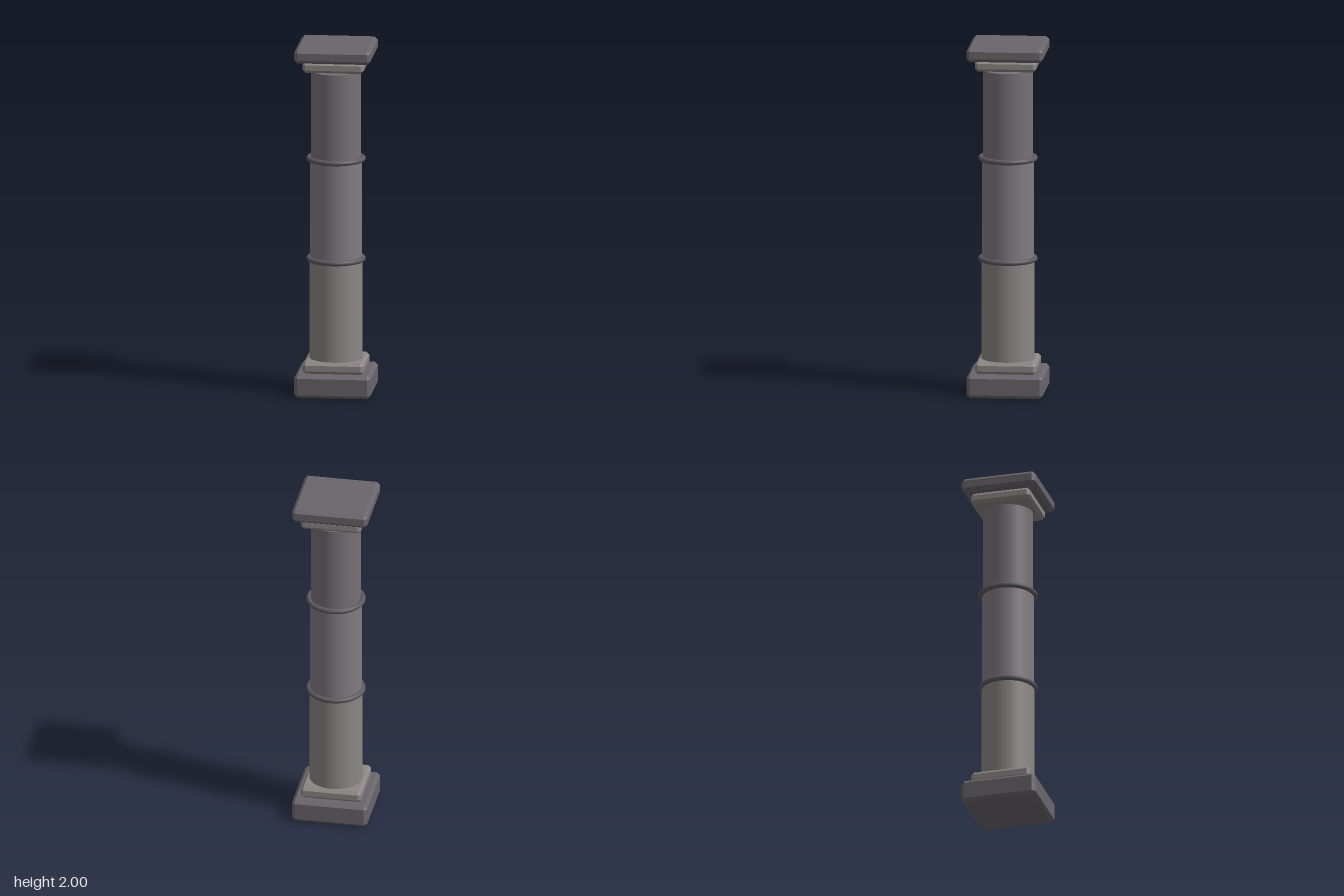
import * as THREE from 'three';
import { ConvexGeometry } from 'three/addons/geometries/ConvexGeometry.js';

const stone = (color) => new THREE.MeshStandardMaterial({ color });
const darkStone = stone(0x6a656b);
const paleStone = stone(0x8c8785);
const ringStone = stone(0x5f5a60);

// Square slab with every edge and corner chamfered
function slab(name, half, y0, y1, bevel, material) {
  const h = (y1 - y0) / 2;
  const points = [];
  for (const sx of [-1, 1]) for (const sy of [-1, 1]) for (const sz of [-1, 1]) {
    for (let axis = 0; axis < 3; axis++) {
      const p = [half - bevel, h - bevel, half - bevel];
      p[axis] += bevel;
      points.push(new THREE.Vector3(sx * p[0], sy * p[1], sz * p[2]));
    }
  }
  const mesh = new THREE.Mesh(new ConvexGeometry(points), material);
  mesh.name = name;
  mesh.position.y = (y0 + y1) / 2;
  return mesh;
}

// One drum of the round shaft
function drum(name, radius, y0, y1, material) {
  const mesh = new THREE.Mesh(new THREE.CylinderGeometry(radius, radius, y1 - y0, 48), material);
  mesh.name = name;
  mesh.position.y = (y0 + y1) / 2;
  return mesh;
}

// Rounded band covering a joint between drums
function ring(name, y) {
  const mesh = new THREE.Mesh(new THREE.TorusGeometry(0.152, 0.015, 12, 48), ringStone);
  mesh.name = name;
  mesh.rotation.x = Math.PI / 2;
  mesh.position.y = y;
  return mesh;
}

export function createModel() {
  const column = new THREE.Group();
  column.name = 'column';
  column.add(
    // Stepped base
    slab('basePlinth', 0.215, 0, 0.13, 0.018, darkStone),
    slab('baseStep', 0.172, 0.13, 0.195, 0.016, paleStone),
    // Shaft, narrowing drum by drum
    drum('lowerShaft', 0.15, 0.19, 0.765, paleStone),
    drum('middleShaft', 0.146, 0.765, 1.34, stone(0x837c81)),
    drum('upperShaft', 0.141, 1.34, 1.845, stone(0x787177)),
    ring('lowerRing', 0.765),
    ring('upperRing', 1.34),
    // Stepped capital, set just above the shaft
    slab('capitalStep', 0.172, 1.86, 1.922, 0.016, paleStone),
    slab('capitalSlab', 0.215, 1.922, 2, 0.018, darkStone),
  );
  return column;
}
